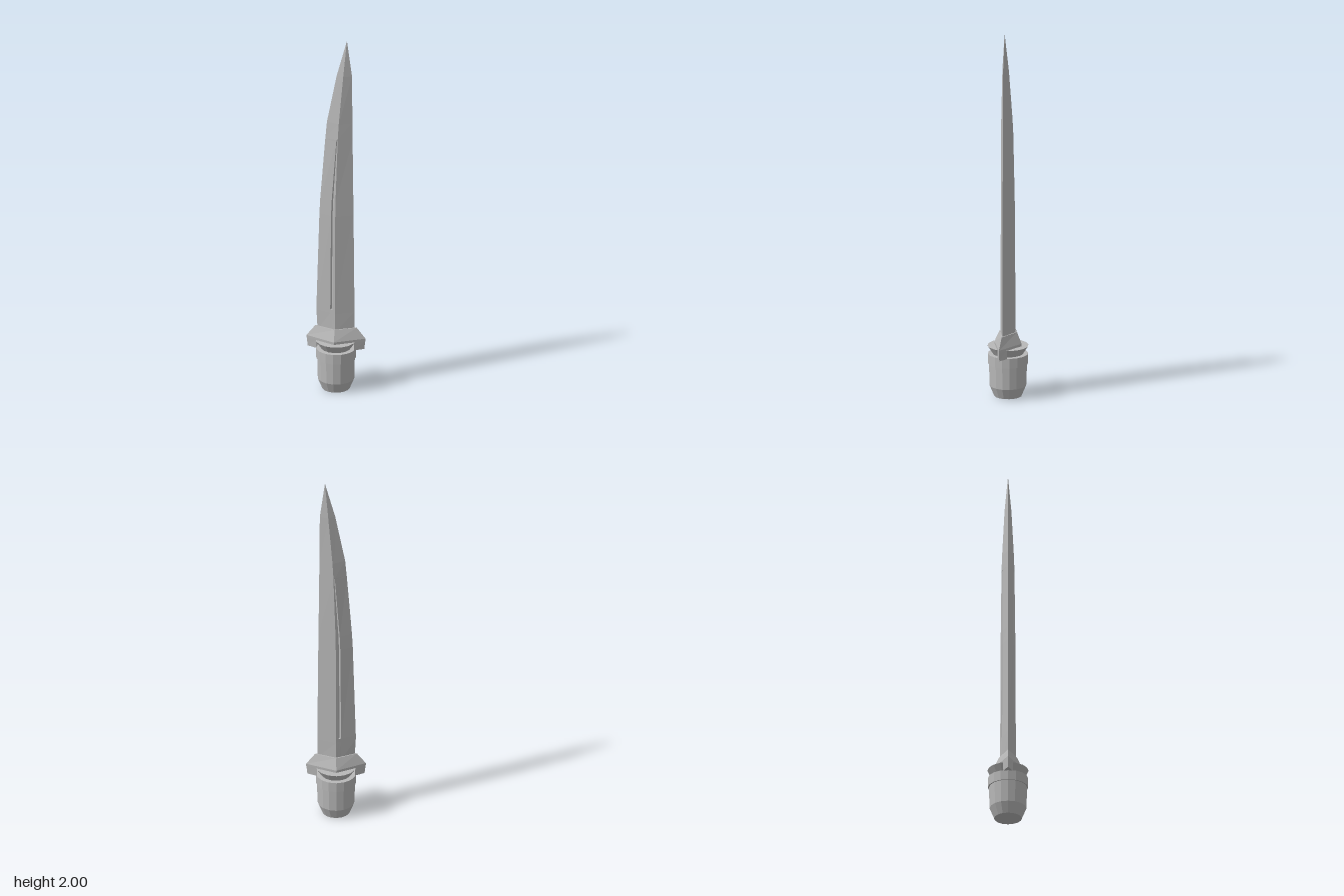
import * as THREE from 'three';

// Skin a stack of rings (lists of [x, y, z], running -x, +z, +x, -z) and cap both ends
function loft(rings) {
  const pos = [];
  const tri = (a, b, c) => pos.push(...a, ...b, ...c);
  const n = rings[0].length;
  for (let r = 0; r < rings.length - 1; r++) {
    for (let i = 0; i < n; i++) {
      const j = (i + 1) % n;
      const lo = rings[r], hi = rings[r + 1];
      tri(lo[i], lo[j], hi[j]);
      tri(lo[i], hi[j], hi[i]);
    }
  }
  const bottom = rings[0], top = rings[rings.length - 1];
  for (let i = 1; i < n - 1; i++) {
    tri(bottom[0], bottom[i + 1], bottom[i]);
    tri(top[0], top[i], top[i + 1]);
  }
  const geo = new THREE.BufferGeometry();
  geo.setAttribute('position', new THREE.Float32BufferAttribute(pos, 3));
  geo.computeVertexNormals();
  return geo;
}

// Diamond blade section with a narrow groove beside the ridge on both faces
function bladeRing([y, left, ridge, right, z, near, far, depth]) {
  const onFace = x => z * (x - left) / (ridge - left);
  const mid = ridge - (near + far) / 2;
  const face = [
    [ridge - far, onFace(ridge - far)],
    [mid, onFace(mid) - depth],
    [ridge - near, onFace(ridge - near)],
    [ridge, z],
  ];
  return [
    [left, y, 0],
    ...face.map(([x, d]) => [x, y, d]),
    [right, y, 0],
    ...face.reverse().map(([x, d]) => [x, y, -d]),
  ];
}

const diamond = (y, x, z) => [[-x, y, 0], [0, y, z], [x, y, 0], [0, y, -z]];

export function createModel() {
  const group = new THREE.Group();
  const steel = new THREE.MeshStandardMaterial({ color: 0xb8b8b8 });
  steel.name = 'steel grey';
  steel.flatShading = true;

  const add = (name, geometry) => {
    const mesh = new THREE.Mesh(geometry, steel);
    mesh.name = name;
    group.add(mesh);
    return mesh;
  };

  // Blade: y, left edge, ridge, right edge, half thickness, groove near, far, depth
  add('blade', loft([
    [0.33, -0.098, 0, 0.097, 0.042, 0.012, 0.026, 0],
    [0.44, -0.104, 0, 0.098, 0.041, 0.012, 0.026, 0],
    [0.46, -0.104, 0, 0.098, 0.041, 0.012, 0.026, 0],
    [0.462, -0.104, 0, 0.098, 0.041, 0.012, 0.026, 0.012],
    [1.0, -0.088, 0.002, 0.093, 0.039, 0.010, 0.024, 0.012],
    [1.08, -0.084, 0.003, 0.092, 0.038, 0.009, 0.022, 0.011],
    [1.43, -0.057, 0.014, 0.088, 0.034, 0.001, 0.008, 0.006],
    [1.44, -0.056, 0.014, 0.088, 0.034, 0.001, 0.008, 0],
    [1.53, -0.048, 0.019, 0.087, 0.031, 0.001, 0.008, 0],
    [1.8, 0.004, 0.041, 0.085, 0.018, 0.001, 0.006, 0],
    [2.0, 0.0575, 0.058, 0.0585, 0.0005, 0.0001, 0.0002, 0],
  ].map(bladeRing)));

  // Guard: bevelled diamond block with a prong hanging at each end
  add('guard', loft([
    diamond(0.275, 0.156, 0.074),
    diamond(0.29, 0.157, 0.075),
    diamond(0.35, 0.11, 0.048),
  ]));
  for (const side of [-1, 1]) {
    const prong = add(side > 0 ? 'leftProng' : 'rightProng', loft([
      [[0.1, 0.23, -0.025], [0.1, 0.23, 0.025], [0.15, 0.23, 0]],
      [[0.1, 0.28, -0.027], [0.1, 0.28, 0.027], [0.156, 0.28, 0]],
    ]));
    if (side < 0) prong.rotation.y = Math.PI;
  }

  // Turned handle parts, stacked from the bottom up
  const turned = (name, y0, r0, y1, r1) => {
    const geo = new THREE.CylinderGeometry(r1, r0, y1 - y0, 16);
    geo.translate(0, (y0 + y1) / 2, 0);
    add(name, geo);
  };
  turned('pommel', 0, 0.073, 0.058, 0.097);
  turned('grip', 0.058, 0.097, 0.18, 0.1);
  turned('gripRing', 0.178, 0.106, 0.232, 0.106);
  turned('flaredCollar', 0.232, 0.08, 0.276, 0.108);
  return group;
}
